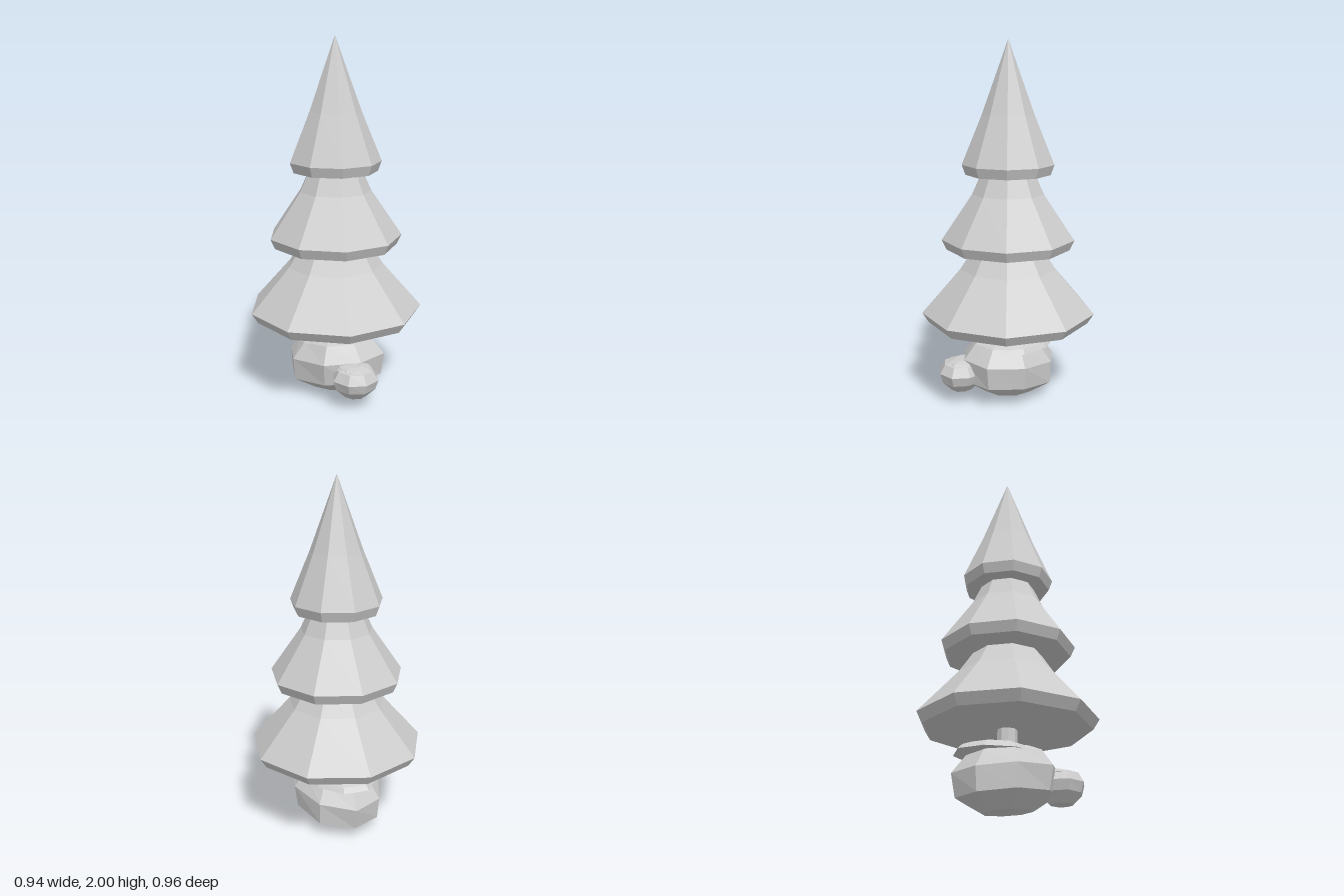
import * as THREE from 'three';

const grey = new THREE.MeshStandardMaterial({ color: 0xcccccc });
grey.name = 'paleGrey';

// Faceted turned shape; the profile runs bottom to top as [radius, height]
function turned(name, profile, sides, start = Math.PI / 2, shape = null) {
  const points = profile.map(([r, y]) => new THREE.Vector2(r, y));
  let geo = new THREE.LatheGeometry(points, sides, start);
  if (shape) {
    const p = geo.attributes.position;
    for (let i = 0; i < p.count; i++) {
      const [x, y, z] = shape(p.getX(i), p.getY(i), p.getZ(i));
      p.setXYZ(i, x, y, z);
    }
  }
  geo = geo.toNonIndexed();
  geo.computeVertexNormals();
  const mesh = new THREE.Mesh(geo, grey);
  mesh.name = name;
  return mesh;
}

// Squash in z, tilt along x, and wobble the outline for an irregular stone
const stone = (depth, tilt, wobble) => (x, y, z) => {
  const k = 1 + wobble * Math.sin(3 * Math.atan2(z, x) + 1 + y * 9);
  return [x * k, y + tilt * x, z * depth * k];
};

export function createModel() {
  const model = new THREE.Group();
  model.name = 'treeOnRocks';

  // Tree: three stacked nine-sided tiers on a thin trunk
  const tree = new THREE.Group();
  tree.name = 'tree';
  tree.position.x = -0.015;
  const tiers = [
    ['lowerTier', [[0, 0.45], [0.45, 0.45], [0.485, 0.505], [0.27, 0.75], [0.19, 0.87], [0, 1.14]]],
    ['middleTier', [[0, 0.865], [0.345, 0.865], [0.37, 0.92], [0.2, 1.17], [0.15, 1.28], [0, 1.56]]],
    ['topTier', [[0, 1.278], [0.235, 1.278], [0.255, 1.333], [0.145, 1.6], [0, 2]]],
  ];
  for (const [name, profile] of tiers) tree.add(turned(name, profile, 9));
  tree.add(turned('trunk', [[0, 0.3], [0.057, 0.3], [0.053, 0.47], [0, 0.47]], 9));
  model.add(tree);

  // Large rock with an overhanging cap
  const rock = turned('largeRock', [
    [0, 0.005], [0.14, 0.022], [0.28, 0.1], [0.295, 0.225], [0.22, 0.315], [0.14, 0.348], [0, 0.352],
  ], 8, Math.PI / 8, stone(0.83, 0.1, 0.03));
  rock.position.x = -0.015;
  const cap = turned('largeRockCap', [
    [0, 0.305], [0.25, 0.305], [0.225, 0.33], [0.17, 0.353], [0.1, 0.363], [0, 0.365],
  ], 9, Math.PI / 2 + 0.35, stone(0.8, 0, 0.03));
  cap.position.set(-0.055, 0, -0.02);
  model.add(rock, cap);

  // Small rock resting against the front, with its own cap
  const pebble = turned('smallRock', [
    [0, 0.067], [0.06, 0.073], [0.113, 0.125], [0.13, 0.178], [0.1, 0.228], [0.05, 0.243], [0, 0.245],
  ], 8, Math.PI / 8, stone(0.98, 0, 0.03));
  const pebbleCap = turned('smallRockCap', [
    [0, 0.222], [0.107, 0.222], [0.09, 0.238], [0.05, 0.249], [0, 0.25],
  ], 8, 0.2, stone(0.9, 0, 0.03));
  pebble.position.set(0.238, 0, 0.128);
  pebbleCap.position.set(0.225, 0, 0.12);
  model.add(pebble, pebbleCap);

  return model;
}
